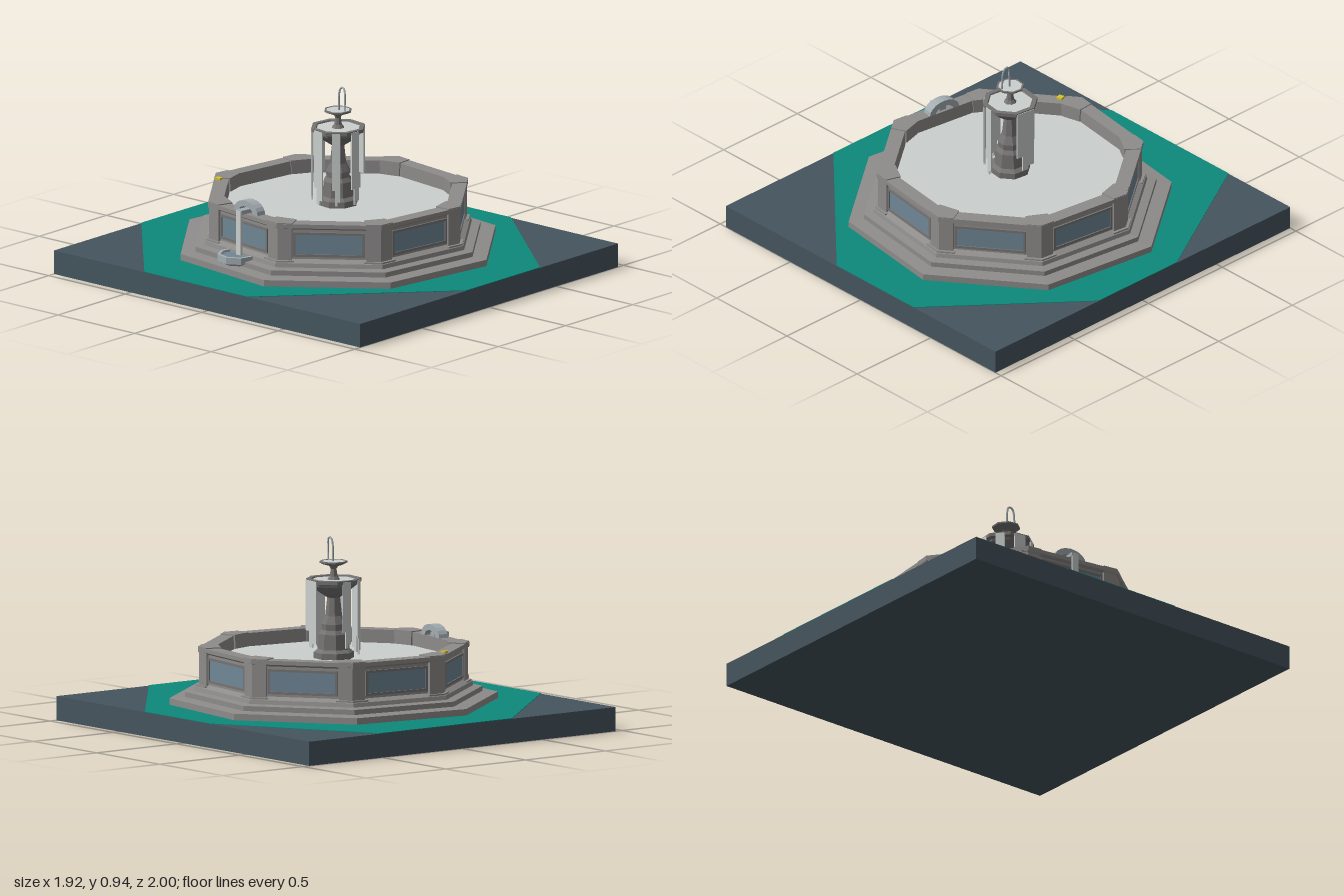
import * as THREE from 'three';

const mat = (color) => new THREE.MeshStandardMaterial({ color, flatShading: true, side: THREE.DoubleSide });
const DEG = Math.PI / 180;
const CX = 0.015;          // axis of the fountain
const CORNER = 30.3;       // angle of the first octagon corner, degrees from +x towards +z
const FACE = CORNER - 22.5;
const C8 = Math.cos(22.5 * DEG);

export function createModel() {
  const root = new THREE.Group();
  const stone = mat(0x8e8c8b), dark = mat(0x767473), slabMat = mat(0x45555e), green = mat(0x0d897b);
  const water = mat(0xcbd1cf), glass = mat(0x6f8796), pale = mat(0xa3adb2), yellow = mat(0xd9c32a);

  const add = (parent, name, geo, material, x = 0, y = 0, z = 0) => {
    const m = new THREE.Mesh(geo, material);
    m.name = name;
    m.position.set(x, y, z);
    parent.add(m);
    return m;
  };
  const box = (w, h, d) => new THREE.BoxGeometry(w, h, d);
  // Octagonal solid from a [radius, height] profile
  const octagon = (pts) => new THREE.LatheGeometry(
    pts.map(([r, y]) => new THREE.Vector2(r, y)), 8, (90 - CORNER - 45) * DEG);
  // Plan outline raised along y
  const prism = (pts, h) => {
    const g = new THREE.ExtrudeGeometry(
      new THREE.Shape(pts.map(([x, z]) => new THREE.Vector2(x, -z))), { depth: h, bevelEnabled: false });
    return g.rotateX(-Math.PI / 2);
  };
  // Group around the fountain axis whose local +x points outward
  const spoke = (name, deg) => {
    const g = new THREE.Group();
    g.name = name;
    g.position.x = CX;
    g.rotation.y = -deg * DEG;
    root.add(g);
    return g;
  };

  // Ground slab and green surround
  add(root, 'groundSlab', box(1.92, 0.12, 2), slabMat, 0, 0.06, 0);
  add(root, 'greenSurround', prism([[-0.96, -0.41], [-0.31, -1], [0.52, -1], [0.96, -0.23],
    [0.96, 0.3], [0.38, 1], [-0.17, 1], [-0.96, 0.27]], 0.003), green, 0, 0.12, 0);

  // Steps and basin wall, given by apothem
  const wall = [[0, 0.123], [0.753, 0.123], [0.753, 0.155], [0.682, 0.16], [0.682, 0.185], [0.64, 0.19],
    [0.635, 0.21], [0.605, 0.225], [0.605, 0.375], [0.622, 0.385], [0.622, 0.405], [0.55, 0.405], [0.55, 0.3]];
  add(root, 'basinWall', octagon(wall.map(([a, y]) => [a / C8, y])), stone, CX);
  add(root, 'basinWater', octagon([[0.59, 0.34], [0, 0.34]]), water, CX);

  // Corner pillars and wall panels
  const plan = [[0.565, -0.055], [0.565, 0.055], [0.643, 0.07], [0.672, 0], [0.643, -0.07]];
  const grow = (s) => plan.map(([u, v]) => [0.6 + (u - 0.6) * (u > 0.6 ? s : 1), v * s]);
  for (let i = 0; i < 8; i++) {
    const p = spoke('cornerPillar', CORNER + i * 45);
    add(p, 'pillarFoot', prism(grow(1.15), 0.04), stone, 0, 0.18, 0);
    add(p, 'pillarShaft', prism(grow(0.93), 0.17), stone, 0, 0.215, 0);
    add(p, 'pillarCap', prism(plan, 0.03), stone, 0, 0.38, 0);

    const f = spoke('wallPanel', FACE + i * 45);
    add(f, 'glassPanel', box(0.01, 0.1, 0.33), glass, 0.603, 0.3, 0);
    for (const s of [-1, 1]) {
      add(f, 'panelRail', box(0.02, 0.012, 0.354), dark, 0.604, 0.3 + s * 0.056, 0);
      add(f, 'panelStile', box(0.02, 0.1, 0.012), dark, 0.604, 0.3, s * 0.171);
    }
  }

  // Central column with its two bowls
  add(root, 'column', octagon([[0.1, 0.33], [0.1, 0.37], [0.08, 0.385], [0.075, 0.46], [0.06, 0.48],
    [0.062, 0.51], [0.042, 0.55], [0.032, 0.64], [0.07, 0.665]]), dark, CX);
  add(root, 'largeBowl', octagon([[0.03, 0.655], [0.07, 0.665], [0.115, 0.7], [0.12, 0.712],
    [0.138, 0.717], [0.138, 0.735], [0.115, 0.735], [0.11, 0.725]]), dark, CX);
  add(root, 'largeBowlWater', octagon([[0.115, 0.728], [0, 0.728]]), water, CX);
  add(root, 'upperStem', octagon([[0.032, 0.728], [0.02, 0.745], [0.014, 0.78], [0.025, 0.8]]), dark, CX);
  add(root, 'smallBowl', octagon([[0.02, 0.795], [0.05, 0.803], [0.07, 0.812], [0.07, 0.82], [0.06, 0.82]]), dark, CX);
  add(root, 'smallBowlWater', octagon([[0.062, 0.818], [0, 0.818]]), water, CX);

  // Jet curling over the top
  const jet = new THREE.CatmullRomCurve3([[0, 0.815, 0.005], [0, 0.9, 0.007], [0.002, 0.928, 0.014],
    [0.002, 0.936, 0.028], [0, 0.925, 0.042], [-0.003, 0.9, 0.047], [-0.006, 0.82, 0.049]]
    .map(([x, y, z]) => new THREE.Vector3(CX + x, y, z)));
  add(root, 'waterJet', new THREE.TubeGeometry(jet, 20, 0.005, 6), pale);

  // Ragged sheets of water falling from the large bowl: [angle, width, foot height]
  for (const [deg, w, foot] of [[FACE, 0.1, 0.4], [FACE + 90, 0.045, 0.36], [FACE + 135, 0.04, 0.36],
    [FACE + 180, 0.06, 0.36], [FACE + 225, 0.045, 0.36], [FACE + 270, 0.045, 0.4]]) {
    const s = spoke('fallingWater', deg);
    [-1, 0, 1].forEach((k) => {
      const bottom = foot + (k ? 0.05 + 0.03 * k : 0);
      add(s, 'waterSheet', box(0.007, 0.73 - bottom, w / 3), water, 0.127, (0.73 + bottom) / 2, k * w / 3);
    });
  }

  // Wall spout: arch on the rim, falling water and a small basin
  const spout = spoke('wallSpout', FACE + 180);
  const arch = new THREE.Shape();
  arch.absellipse(0, 0, 0.088, 0.06, 0, Math.PI, false);
  arch.absellipse(0, 0, 0.052, 0.03, Math.PI, 0, true);
  const archGeo = new THREE.ExtrudeGeometry(arch, { depth: 0.05, bevelEnabled: false, curveSegments: 5 });
  add(spout, 'spoutArch', archGeo.rotateY(Math.PI / 2), pale, 0.55, 0.405, 0);
  add(spout, 'spoutLip', box(0.08, 0.02, 0.04), pale, 0.605, 0.415, 0);
  add(spout, 'spoutWater', box(0.012, 0.23, 0.035), water, 0.642, 0.307, 0);
  add(spout, 'spoutBasin', octagon([[0.06, 0.155], [0.1, 0.175], [0.1, 0.208], [0.082, 0.208], [0.08, 0.19]]),
    pale, 0.655, 0, 0);
  add(spout, 'spoutBasinWater', octagon([[0.085, 0.197], [0, 0.197]]), glass, 0.655, 0, 0);

  // Small yellow block on the rim
  add(root, 'yellowBlock', box(0.03, 0.012, 0.03), yellow, -0.225, 0.41, -0.57).rotation.y = 0.3;

  return root;
}
